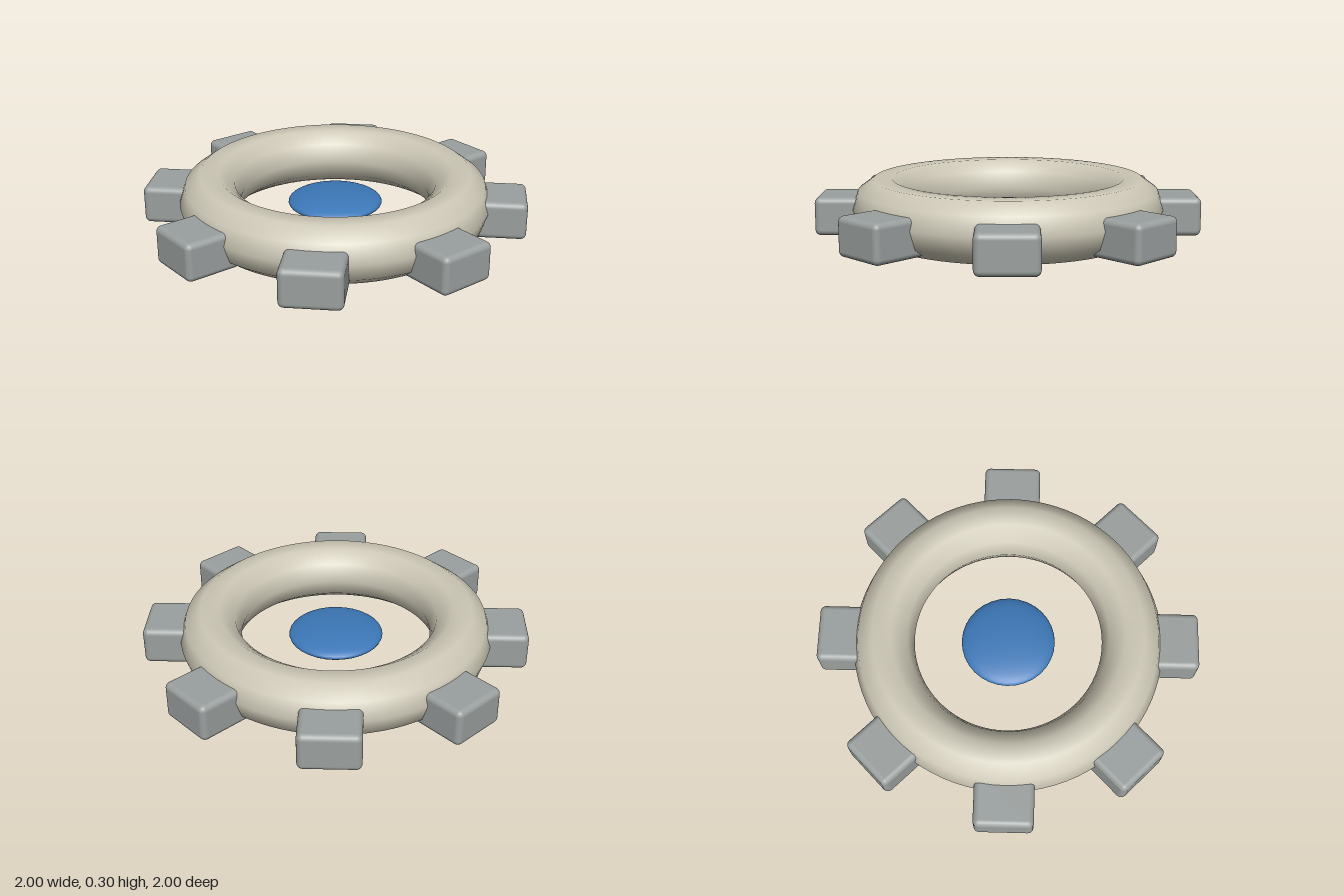
import * as THREE from 'three';
import { RoundedBoxGeometry } from 'three/addons/geometries/RoundedBoxGeometry.js';

const material = (name, color) => {
  const m = new THREE.MeshStandardMaterial({ color });
  m.name = name;
  return m;
};

export function createModel() {
  const model = new THREE.Group();
  model.name = 'gearRing';
  const cream = material('cream', 0xcdc8b6);
  const grey = material('grey', 0x9aa09f);
  const blue = material('blue', 0x3c78b8);

  const add = (name, geometry, mat, parent, x, y, z) => {
    const mesh = new THREE.Mesh(geometry, mat);
    mesh.name = name;
    mesh.position.set(x, y, z);
    parent.add(mesh);
    return mesh;
  };

  // Ring with a ten-sided section, smoothly shaded
  const ring = new THREE.TorusGeometry(0.655, 0.16, 10, 80);
  ring.rotateX(-Math.PI / 2);
  add('ring', ring, cream, model, 0, 0.16, 0);

  // Eight rounded teeth around the rim
  const toothShape = new RoundedBoxGeometry(0.3, 0.2, 0.305, 4, 0.03);
  for (let i = 0; i < 8; i++) {
    const arm = new THREE.Group();
    arm.name = `toothArm${i + 1}`;
    arm.rotation.y = (i * Math.PI) / 4;
    add('tooth', toothShape, grey, arm, 0.85, 0.122, 0);
    model.add(arm);
  }

  // Flattened ball floating in the middle
  const hub = new THREE.SphereGeometry(0.247, 32, 20);
  hub.scale(1, 0.2, 1);
  add('hub', hub, blue, model, 0, 0.135, 0);

  return model;
}
